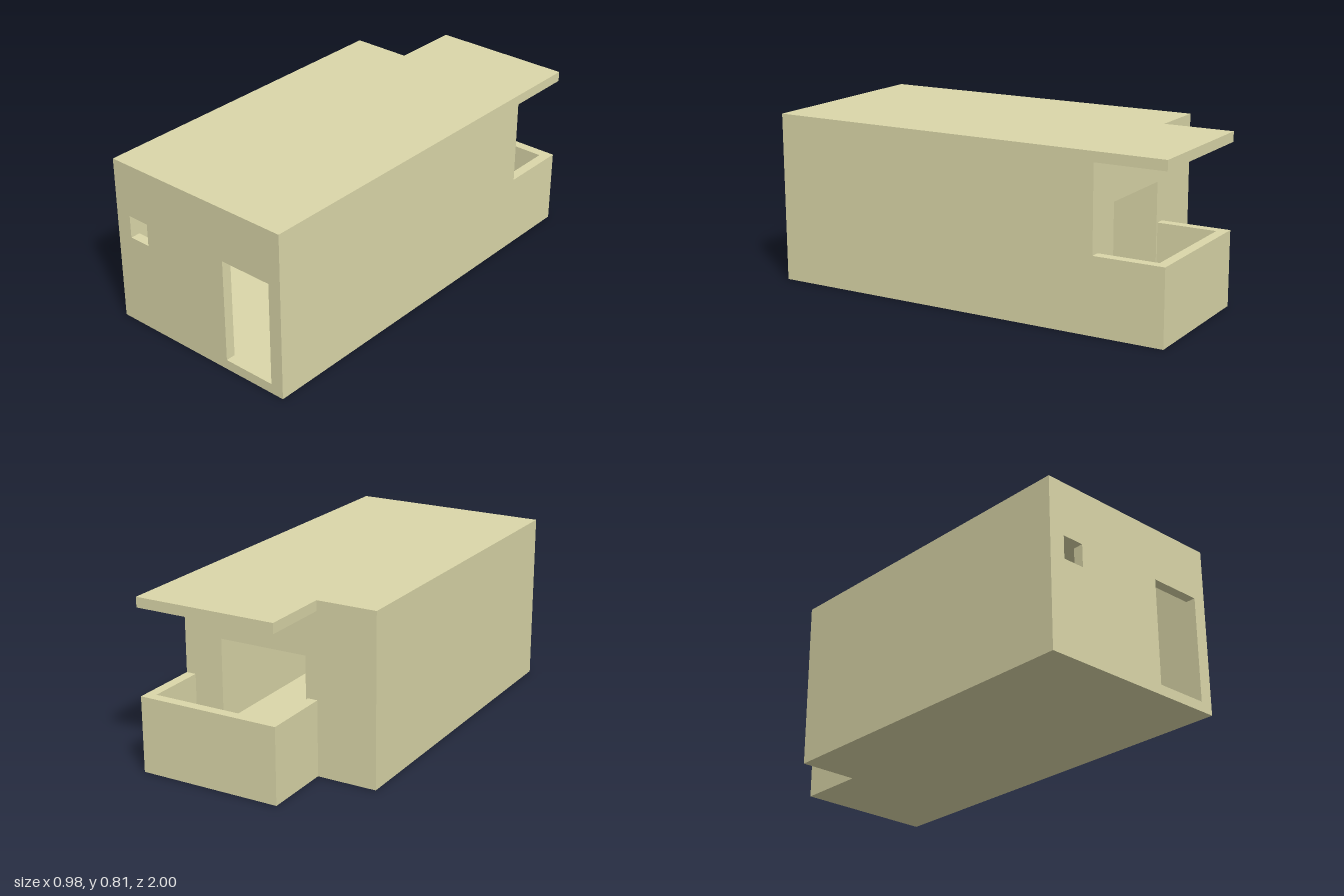
import * as THREE from 'three';

const T = 0.048;              // slab and wall thickness
const W = 0.49;               // half width
const H = 0.815;              // total height
const CEIL = H - T;           // underside of the roof
const BACK = -0.66;           // outer face of the house's back wall
const BALCONY_X = -0.2;       // right edge of the balcony
const RAIL = 0.36;            // top of the balcony parapet

export function createModel() {
  const house = new THREE.Group();
  house.name = 'house';
  const material = new THREE.MeshStandardMaterial({ color: 0xdbd7a9, flatShading: true });

  const add = (name, geometry) => {
    const mesh = new THREE.Mesh(geometry, material);
    mesh.name = name;
    house.add(mesh);
  };

  const box = (name, x0, x1, y0, y1, z0, z1) =>
    add(name, new THREE.BoxGeometry(x1 - x0, y1 - y0, z1 - z0)
      .translate((x0 + x1) / 2, (y0 + y1) / 2, (z0 + z1) / 2));

  const polygon = (points) => new THREE.Shape(points.map(([x, y]) => new THREE.Vector2(x, y)));

  // Floor and roof share the stepped footprint
  const footprint = polygon([
    [-W, -1], [W, -1], [W, 1], [BALCONY_X, 1], [BALCONY_X, -BACK], [-W, -BACK],
  ]);
  const slab = (name, y) =>
    add(name, new THREE.ExtrudeGeometry(footprint, { depth: T, bevelEnabled: false })
      .rotateX(-Math.PI / 2).translate(0, y, 0));
  slab('floor', 0);
  slab('roof', CEIL);

  // Wall across x with a doorway cut up from the floor and optional windows
  const doorWall = (name, z, [x0, x1, top], windows = []) => {
    const shape = polygon([
      [-W, T], [x0, T], [x0, top], [x1, top], [x1, T], [W, T], [W, CEIL], [-W, CEIL],
    ]);
    for (const [a, b, c, d] of windows) {
      shape.holes.push(new THREE.Path([[a, c], [a, d], [b, d], [b, c]]
        .map(([x, y]) => new THREE.Vector2(x, y))));
    }
    add(name, new THREE.ExtrudeGeometry(shape, { depth: T, bevelEnabled: false }).translate(0, 0, z));
  };
  doorWall('frontWall', 1 - T, [0.16, 0.425, 0.555], [[-0.41, -0.3, 0.445, 0.555]]);
  doorWall('backWall', BACK, [-0.142, 0.295, 0.555]);

  // Side walls
  box('leftWall', W - T, W, T, CEIL, BACK + T, 1 - T);
  box('rightWall', -W, -W + T, T, CEIL, BACK + T, 1 - T);

  // Balcony parapet
  box('leftParapet', W - T, W, T, RAIL, -1 + T, BACK);
  box('rightParapet', BALCONY_X, BALCONY_X + T, T, RAIL, -1 + T, BACK);
  box('backParapet', BALCONY_X, W, T, RAIL, -1, -1 + T);

  return house;
}
